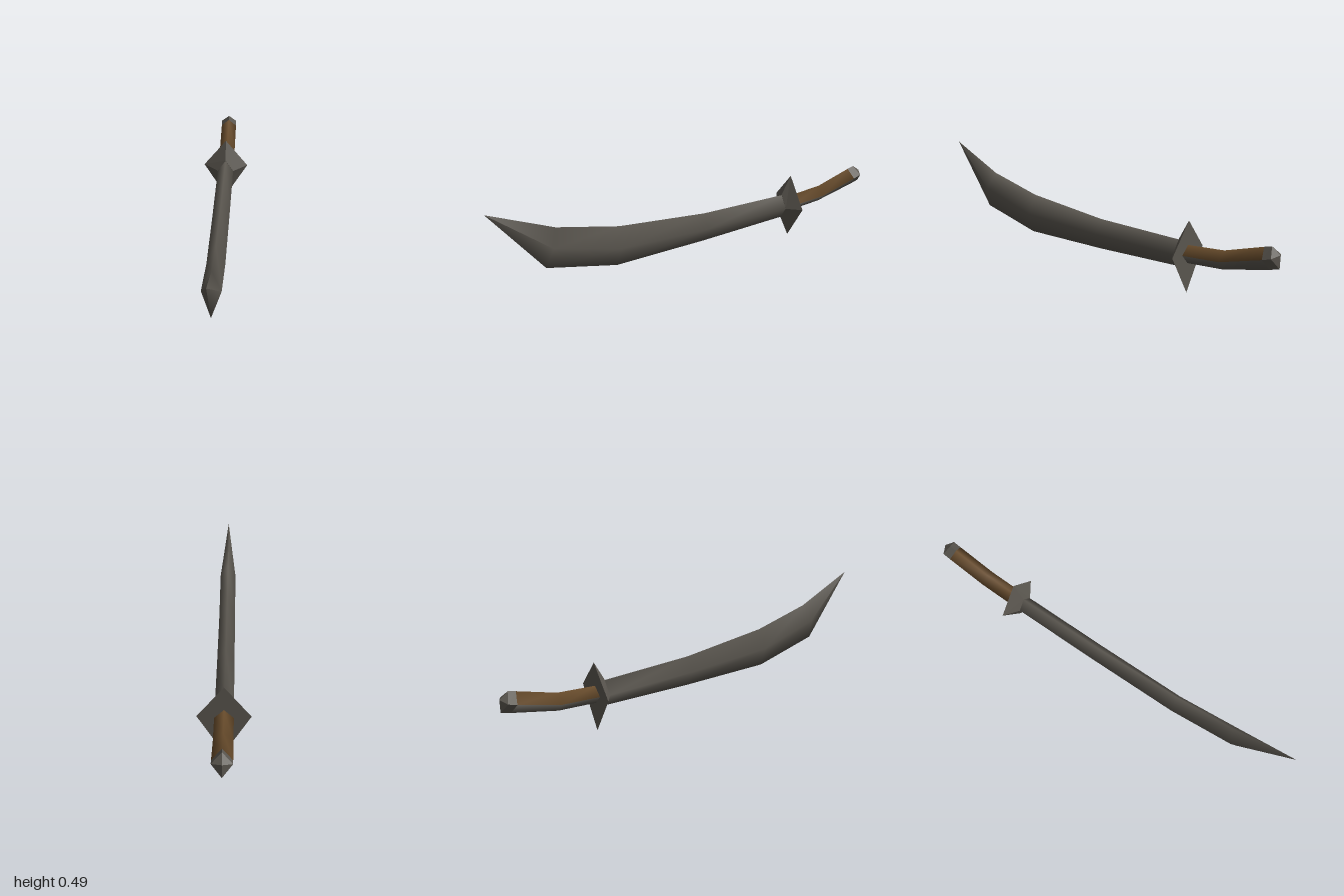
import * as THREE from 'three';

const steel = new THREE.MeshStandardMaterial({ color: 0x5a564f });
steel.name = 'dark steel';
const leather = new THREE.MeshStandardMaterial({ color: 0x674b2b });
leather.name = 'brown leather';

// A diamond cross-section: top ridge, two side edges and bottom ridge.
// top, mid and bottom are [z, y] pairs; w is the half width.
const ring = (top, mid, bottom, w = 0.042) => [
  [0, top[1], top[0]],
  [w, mid[1], mid[0]],
  [0, bottom[1], bottom[0]],
  [-w, mid[1], mid[0]],
];
const point = (z, y) => ring([z, y], [z, y], [z, y], 0);

// Skins a row of rings running towards +z. Group 0 is the upper faces, group 1 the lower faces and caps.
function loft(name, rings, materials, { flat = false, capStart = false, capEnd = false } = {}) {
  const upper = [], lower = [];
  for (let i = 0; i < rings.length - 1; i++) {
    for (let j = 0; j < 4; j++) {
      const a = i * 4 + j, b = i * 4 + (j + 1) % 4;
      const faces = j === 0 || j === 3 ? upper : lower;
      faces.push(a, a + 4, b + 4, a, b + 4, b);
    }
  }
  const e = (rings.length - 1) * 4;
  if (capStart) lower.push(0, 1, 2, 0, 2, 3);
  if (capEnd) lower.push(e, e + 3, e + 2, e, e + 2, e + 1);

  let geometry = new THREE.BufferGeometry();
  geometry.setAttribute('position', new THREE.Float32BufferAttribute(rings.flat(2), 3));
  geometry.setIndex([...upper, ...lower]);
  if (flat) geometry = geometry.toNonIndexed();
  geometry.computeVertexNormals();
  geometry.clearGroups();
  geometry.addGroup(0, upper.length, 0);
  geometry.addGroup(upper.length, lower.length, 1);
  const mesh = new THREE.Mesh(geometry, materials);
  mesh.name = name;
  return mesh;
}

export function createModel() {
  const sword = new THREE.Group();
  sword.name = 'curvedSword';

  // Curved blade that broadens, then sweeps up to a point
  sword.add(loft('blade', [
    ring([-0.51, 0.24], [-0.51, 0.18], [-0.51, 0.115]),
    ring([-0.05, 0.245], [-0.05, 0.177], [-0.05, 0.095]),
    ring([0.4, 0.287], [0.41, 0.19], [0.42, 0.085]),
    ring([0.7, 0.357], [0.73, 0.277], [0.76, 0.165]),
    point(1, 0.49),
  ], [steel, steel]));

  // Flared diamond guard
  sword.add(loft('guard', [
    ring([-0.555, 0.338], [-0.555, 0.193], [-0.555, 0], 0.118),
    ring([-0.505, 0.243], [-0.505, 0.18], [-0.505, 0.113], 0.043),
  ], [steel, steel], { flat: true, capStart: true, capEnd: true }));

  // Bent grip, leather above and steel below
  const gripEnd = ring([-0.925, 0.3], [-0.94, 0.257], [-0.955, 0.207]);
  sword.add(loft('grip', [
    gripEnd,
    ring([-0.74, 0.242], [-0.74, 0.2], [-0.74, 0.155]),
    ring([-0.55, 0.225], [-0.55, 0.185], [-0.55, 0.14]),
  ], [leather, steel]));

  // Blunt pointed pommel
  sword.add(loft('pommel', [
    point(-1, 0.28),
    ring([-0.96, 0.31], [-0.98, 0.27], [-1, 0.22]),
    gripEnd,
  ], [steel, steel], { flat: true }));

  return sword;
}
